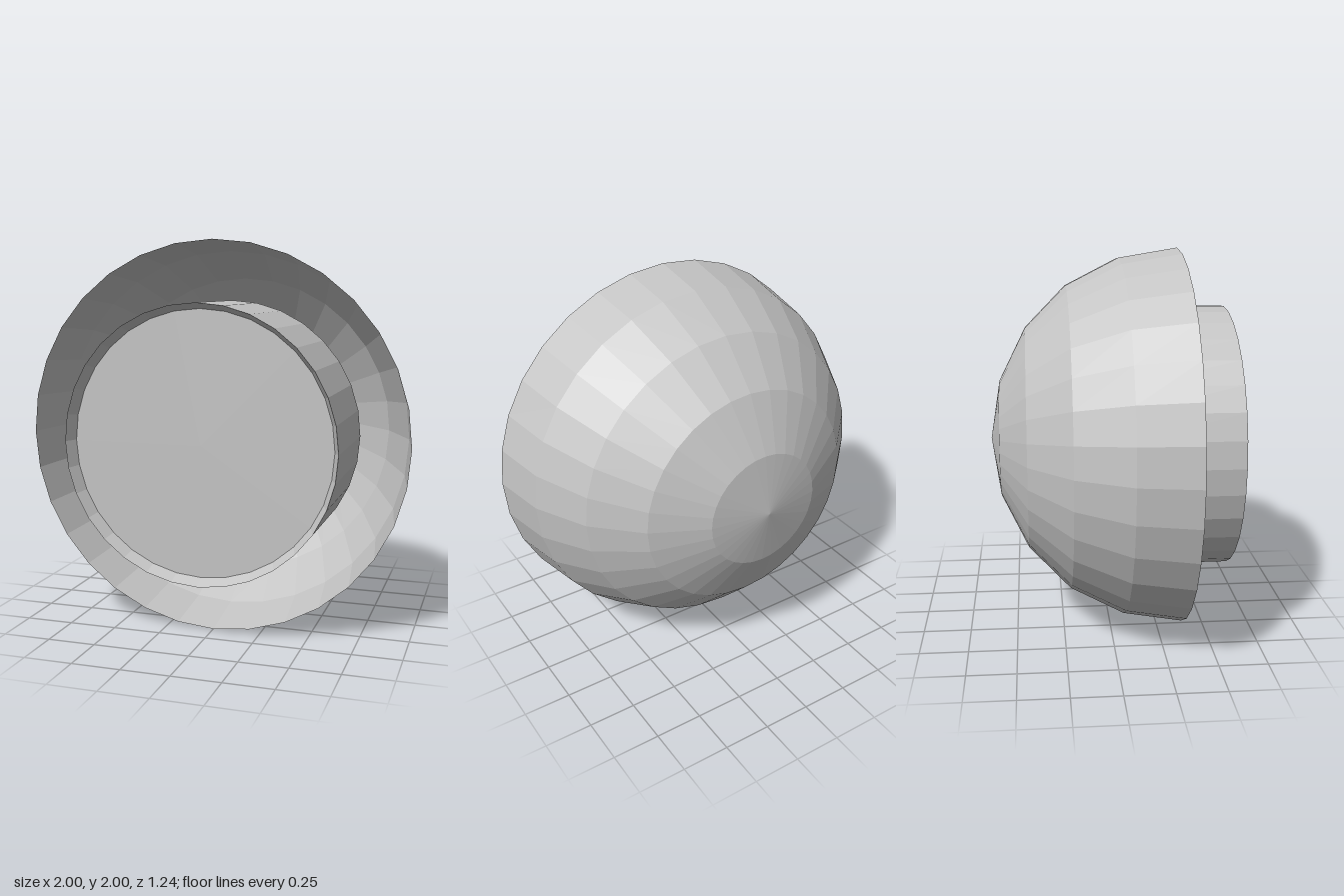
import * as THREE from 'three';

const SIDES = 32;

export function createModel() {
  const model = new THREE.Group();
  model.name = 'domeWithDrum';

  const grey = new THREE.MeshStandardMaterial({ color: 0xc4c4c4 });
  grey.name = 'plain grey';
  grey.flatShading = true;
  grey.side = THREE.DoubleSide;

  // Turns a profile of [radius, z] points around the front-back axis
  function turned(name, profile) {
    const points = profile.map(([r, z]) => new THREE.Vector2(r, z));
    const geometry = new THREE.LatheGeometry(points, SIDES);
    geometry.rotateX(Math.PI / 2);
    geometry.translate(0, 1, 0);
    const mesh = new THREE.Mesh(geometry, grey);
    mesh.name = name;
    model.add(mesh);
  }

  // Thin half-sphere shell, open towards the front
  turned('domeShell', [
    [0, -0.62], [0.31, -0.57], [0.59, -0.43], [0.81, -0.215], [0.95, 0.06], [1, 0.365],
  ]);

  // Drum inside the dome, with its back closed
  turned('drumWall', [[0, 0.03], [0.695, 0.03], [0.695, 0.62]]);

  // Sloping lip that leads in to the recessed front disc
  turned('drumLip', [[0.695, 0.62], [0.665, 0.555]]);
  turned('frontDisc', [[0.665, 0.555], [0, 0.555]]);

  return model;
}
